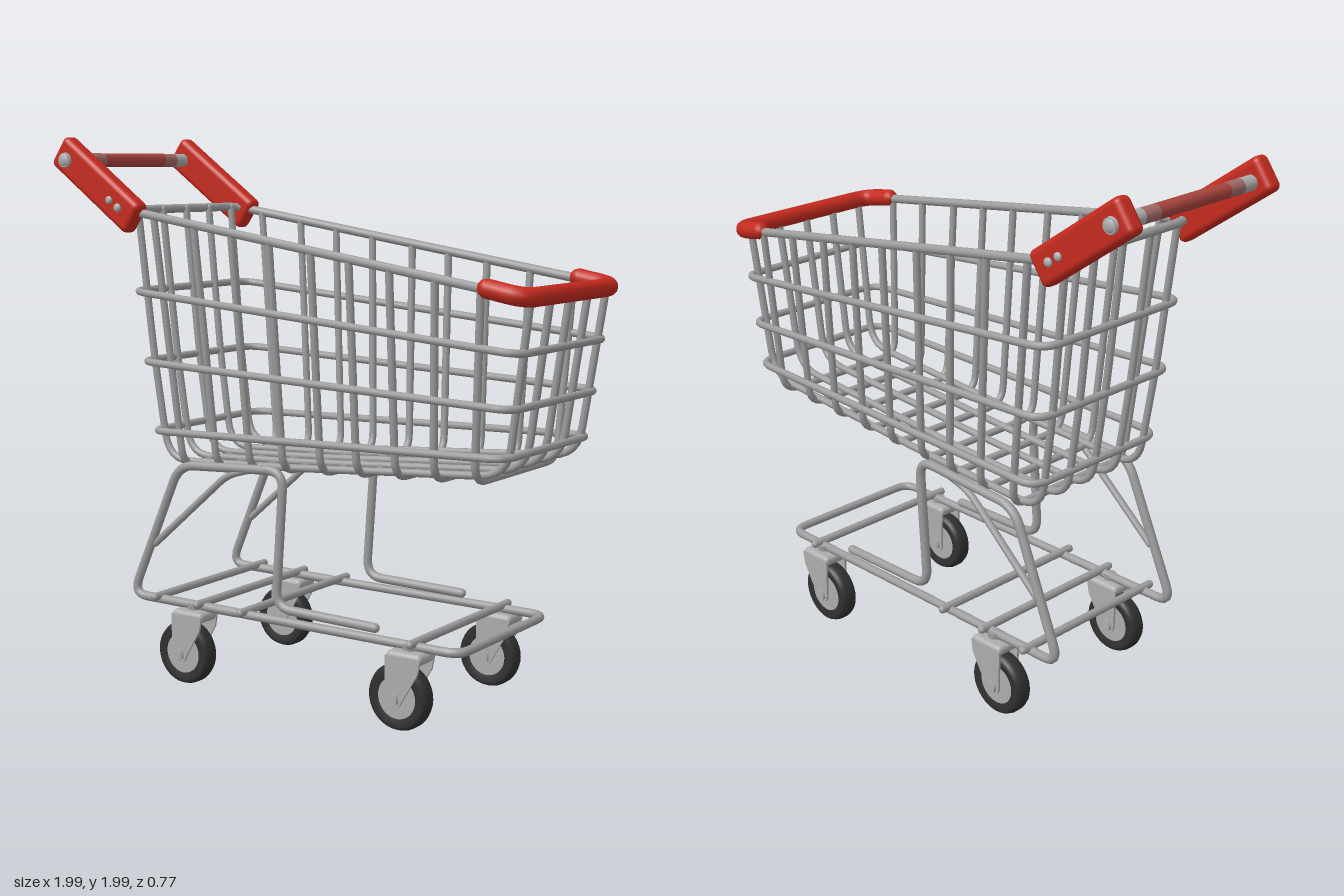
import * as THREE from 'three';
import { mergeGeometries } from 'three/addons/utils/BufferGeometryUtils.js';
import { RoundedBoxGeometry } from 'three/addons/geometries/RoundedBoxGeometry.js';

const V = (x, y, z) => new THREE.Vector3(x, y, z);

// Curve that steps through given points, one tube segment per point
class Polyline extends THREE.Curve {
  constructor(points) {
    super();
    this.points = points;
  }
  getPoint(t, target = new THREE.Vector3()) {
    const n = this.points.length - 1;
    const i = Math.min(Math.floor(t * n + 1e-6), n - 1);
    return target.lerpVectors(this.points[i], this.points[i + 1], t * n - i);
  }
  getPointAt(u, target) {
    return this.getPoint(u, target);
  }
  getTangentAt(u, target = new THREE.Vector3()) {
    const p = this.points, n = p.length - 1, i = Math.round(u * n);
    target.set(0, 0, 0);
    if (i > 0) target.add(p[i].clone().sub(p[i - 1]).normalize());
    if (i < n) target.add(p[i + 1].clone().sub(p[i]).normalize());
    return target.normalize();
  }
}

// Replaces each inner corner of a path by a short curve of the given reach
function roundCorners(pts, reach) {
  const out = [pts[0]];
  for (let i = 1; i < pts.length - 1; i++) {
    const p = pts[i];
    const toward = (q) => {
      const d = q.clone().sub(p);
      return p.clone().addScaledVector(d.clone().normalize(), Math.min(reach, d.length() * 0.48));
    };
    out.push(...new THREE.QuadraticBezierCurve3(toward(pts[i - 1]), p, toward(pts[i + 1])).getPoints(6));
  }
  out.push(pts[pts.length - 1]);
  return out;
}

// Bent round bar with ball ends
function barGeometry(pts, radius, reach = 0.05, sides = 10) {
  const path = roundCorners(pts, reach);
  const parts = [new THREE.TubeGeometry(new Polyline(path), path.length - 1, radius, sides, false)];
  for (const p of [pts[0], pts[pts.length - 1]]) {
    parts.push(new THREE.SphereGeometry(radius, sides, 6).translate(p.x, p.y, p.z));
  }
  return mergeGeometries(parts);
}

const mat = (name, color) => new THREE.MeshStandardMaterial({ name, color });

export function createModel() {
  const steel = mat('steel', 0x9c9c9c);
  const plate = mat('brightSteel', 0xacacac);
  const red = mat('red', 0xc42a1e);
  const dullRed = mat('dullRed', 0xa8443e);
  const paleRed = mat('paleRed', 0xa06a66);
  const rubber = mat('rubber', 0x303030);

  const cart = new THREE.Group();
  cart.name = 'shoppingCart';
  const add = (parent, name, geometry, material, x = 0, y = 0, z = 0) => {
    const mesh = new THREE.Mesh(geometry, material);
    mesh.name = name;
    mesh.position.set(x, y, z);
    parent.add(mesh);
    return mesh;
  };
  const zRod = (radius, length, sides = 16) =>
    new THREE.CylinderGeometry(radius, radius, length, sides).rotateX(Math.PI / 2);
  const group = (name) => {
    const g = new THREE.Group();
    g.name = name;
    cart.add(g);
    return g;
  };

  // Basket
  const basket = group('basket');
  const rimY = (x) => 1.727 - 0.15 * (x + 0.67);
  const floorY = (x) => 0.843 + 0.055 * x;

  // Hoops around the basket: rear x, rear y, front x, front y, rear and front half width
  const hoops = [
    [-0.665, 1.729, 0.965, 1.482, 0.325, 0.32],
    [-0.635, 1.438, 0.945, 1.303, 0.335, 0.315],
    [-0.605, 1.183, 0.92, 1.123, 0.328, 0.31],
    [-0.57, 0.928, 0.895, 0.963, 0.315, 0.305],
  ];
  hoops.forEach(([rx, ry, fx, fy, rz, fz], i) => {
    const pts = [V(rx, ry, 0), V(rx, ry, rz), V(fx, fy, fz), V(fx, fy, -fz), V(rx, ry, -rz), V(rx, ry, 0)];
    add(basket, i ? 'basketHoop' : 'basketRim', barGeometry(pts, i ? 0.0135 : 0.016, 0.07), steel);
  });

  // Lengthwise wires: down the back, along the floor, up the front
  for (const z of [-0.248, -0.123, 0, 0.123, 0.248]) {
    const pts = [
      V(-0.655, 1.729, z * 1.1), V(-0.6, 1.193, z * 1.04), V(-0.545, 0.813, z),
      V(0, 0.838, z), V(0.875, 0.898, z), V(0.96, 1.482, z * 1.08),
    ];
    add(basket, 'lengthwiseWire', barGeometry(pts, 0.0135, 0.1), steel);
  }

  // Crosswise wires: down one side, under the floor, up the other
  const tops = [-0.54, -0.355, -0.19, -0.025, 0.15, 0.305, 0.465, 0.64, 0.81];
  const bottoms = [-0.445, -0.29, -0.14, 0.005, 0.165, 0.315, 0.47, 0.62, 0.775];
  tops.forEach((tx, i) => {
    const bx = bottoms[i], ty = rimY(tx), by = floorY(bx) - 0.015;
    const pts = [V(tx, ty, 0.322), V(bx, by, 0.285), V(bx, by, -0.285), V(tx, ty, -0.322)];
    add(basket, 'crosswiseWire', barGeometry(pts, 0.0135, 0.07), steel);
  });

  // Front bumper
  const bumper = [V(0.83, 1.506, 0.32), V(0.966, 1.481, 0.32), V(0.966, 1.481, -0.32), V(0.83, 1.506, -0.32)];
  add(basket, 'frontBumper', barGeometry(bumper, 0.032, 0.07, 14), red);

  // Handle
  const handle = group('handle');
  const hx = -0.92, hy = 1.908;
  add(handle, 'handleBar', zRod(0.026, 0.34), dullRed, hx, hy);
  for (const s of [-1, 1]) {
    add(handle, 'handleCollar', zRod(0.026, 0.07), paleRed, hx, hy, s * 0.205);
    add(handle, 'handleEnd', zRod(0.026, 0.14), plate, hx, hy, s * 0.31);
    const arm = add(handle, 'handleArm', new RoundedBoxGeometry(0.44, 0.128, 0.065, 3, 0.022), red, -0.787, 1.82, s * 0.334);
    arm.rotation.z = -0.62;
    for (const [x, y, r] of [[hx, hy, 0.028], [-0.71, 1.765, 0.015], [-0.67, 1.738, 0.016]]) {
      add(handle, 'handleBolt', new THREE.SphereGeometry(r, 14, 8).scale(1, 1, 0.6), plate, x, y, s * 0.37);
    }
  }

  // Lower frame
  const frame = group('frame');
  const railY = 0.296;
  const base = [V(-0.2, railY, 0.3), V(0.735, railY, 0.3), V(0.735, railY, -0.3), V(-0.2, railY, -0.3)];
  add(frame, 'baseRail', barGeometry(base, 0.016, 0.06), steel);
  for (const s of [-1, 1]) {
    const leg = [
      V(-0.2, railY, 0.3 * s), V(-0.685, railY, 0.3 * s), V(-0.46, 0.808, 0.292 * s), V(0.01, 0.833, 0.29 * s),
      V(-0.025, 0.338, 0.29 * s), V(0.395, 0.331, 0.29 * s),
    ];
    add(frame, 'legTube', barGeometry(leg, 0.017, 0.07), steel);
    add(frame, 'legBrace', barGeometry([V(-0.58, 0.5, 0.293 * s), V(-0.24, 0.793, 0.29 * s), V(-0.15, 0.818, 0.29 * s)], 0.013), steel);
  }
  for (const x of [-0.55, -0.35, -0.15, 0.563]) {
    add(frame, 'baseCrossRod', barGeometry([V(x, 0.309, -0.335), V(x, 0.309, 0.335)], 0.015), steel);
  }

  // Casters
  const tyreProfile = [
    [0.074, -0.028], [0.1, -0.034], [0.111, -0.028], [0.117, -0.013],
    [0.117, 0.013], [0.111, 0.028], [0.1, 0.034], [0.074, 0.028],
  ].map(([r, y]) => new THREE.Vector2(r, y));
  const tyre = new THREE.LatheGeometry(tyreProfile, 36).rotateX(Math.PI / 2);

  const cheek = new THREE.Shape();
  cheek.moveTo(-0.035, 0.15);
  cheek.lineTo(0.104, 0.15);
  cheek.lineTo(0.095, 0.1);
  cheek.lineTo(0.03, -0.01);
  cheek.absarc(0, 0, 0.032, -0.3, -Math.PI, true);
  cheek.lineTo(-0.035, 0.15);
  const cheekGeo = new THREE.ExtrudeGeometry(cheek, { depth: 0.008, bevelEnabled: false }).translate(0, 0, -0.004);

  for (const [x, sz] of [[-0.42, -1], [-0.42, 1], [0.511, -1], [0.511, 1]]) {
    const caster = group('caster');
    caster.position.set(x, 0.117, sz * 0.305);
    add(caster, 'tyre', tyre, rubber);
    add(caster, 'wheelHub', zRod(0.076, 0.054, 28), plate);
    add(caster, 'axle', zRod(0.014, 0.125), plate);
    add(caster, 'forkTop', new RoundedBoxGeometry(0.14, 0.04, 0.1, 3, 0.018), plate, 0.035, 0.146, 0);
    add(caster, 'casterStem', new THREE.CylinderGeometry(0.024, 0.024, 0.03, 16), steel, 0.035, 0.172, 0);
    for (const s of [-1, 1]) {
      add(caster, 'forkCheek', cheekGeo, plate, 0, 0, s * 0.046);
      add(caster, 'axleNut', zRod(0.024, 0.012, 6), plate, 0, 0, s * 0.056);
    }
  }
  return cart;
}
